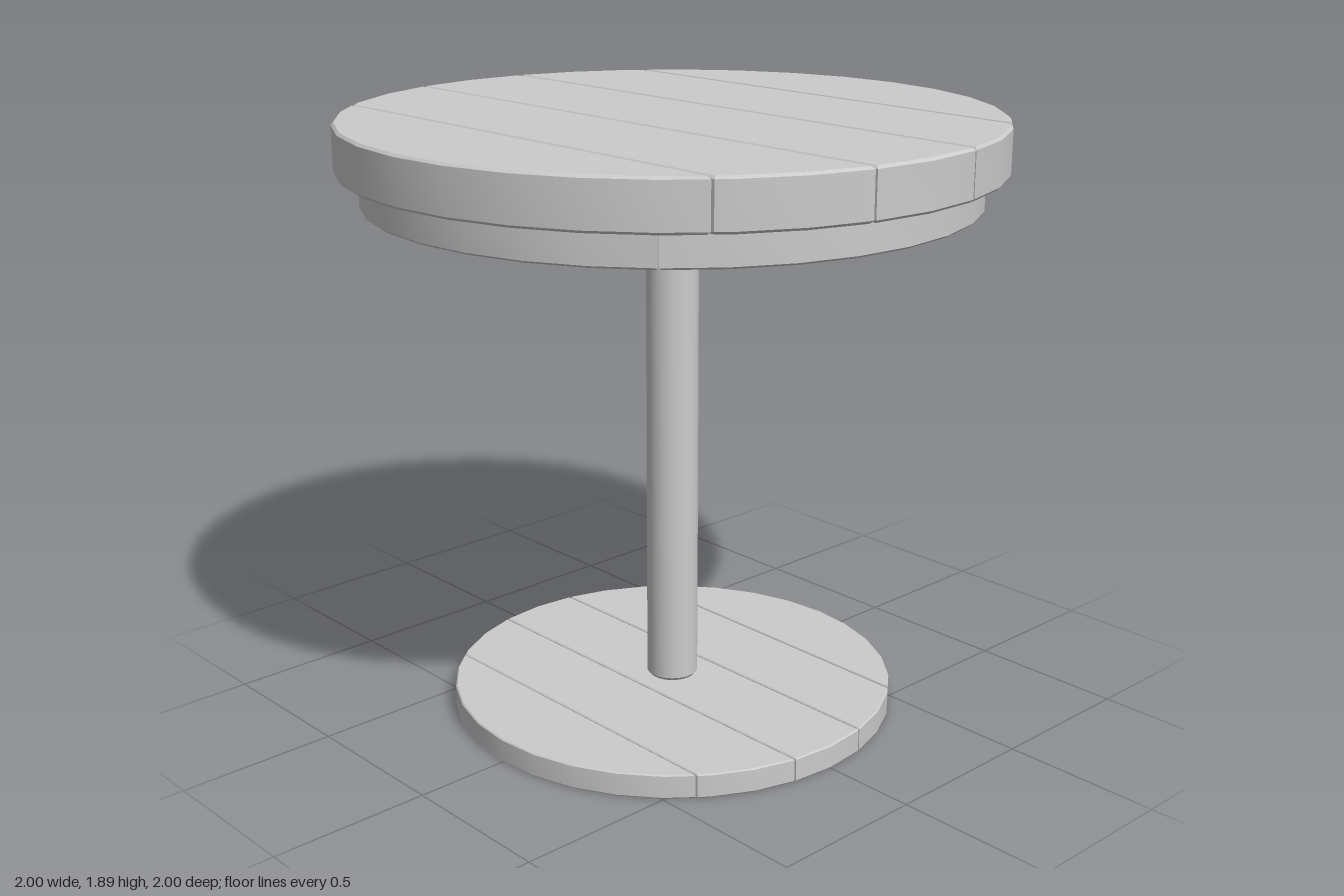
import * as THREE from 'three';
import { toCreasedNormals } from 'three/addons/utils/BufferGeometryUtils.js';

const material = new THREE.MeshStandardMaterial({ color: 0xcccccc });
const SIDES = 32;

function addMesh(parent, name, geometry) {
  const mesh = new THREE.Mesh(geometry, material);
  mesh.name = name;
  parent.add(mesh);
}

// Horizontal slab with chamfered edges, between heights y0 and y1
function slab(points, y0, y1, bevel) {
  const geometry = new THREE.ExtrudeGeometry(new THREE.Shape(points), {
    depth: y1 - y0 - 2 * bevel, bevelEnabled: true, bevelSegments: 1,
    bevelThickness: bevel, bevelSize: bevel, bevelOffset: -bevel,
  });
  geometry.rotateX(-Math.PI / 2).translate(0, y0 + bevel, 0);
  return toCreasedNormals(geometry, 0.5);
}

// Part of a round disc lying between x0 and x1
function discStrip(radius, x0, x1) {
  const corners = [];
  for (let i = 0; i < SIDES; i++) {
    const a = (i / SIDES) * Math.PI * 2;
    corners.push(new THREE.Vector2(Math.cos(a) * radius, Math.sin(a) * radius));
  }
  const out = [];
  corners.forEach((p, i) => {
    const q = corners[(i + 1) % SIDES];
    if (p.x >= x0 && p.x <= x1) out.push(p);
    [x0, x1]
      .map((x) => (x - p.x) / (q.x - p.x))
      .filter((t) => t > 0 && t < 1)
      .sort((a, b) => a - b)
      .forEach((t) => out.push(p.clone().lerp(q, t)));
  });
  return out;
}

// Round disc made of five parallel planks
function plankDisc(name, radius, y0, y1, gap, bevel) {
  const group = new THREE.Group();
  group.name = name;
  const width = (2 * radius) / 5;
  for (let i = 0; i < 5; i++) {
    const x0 = i === 0 ? -2 : -radius + i * width + gap / 2;
    const x1 = i === 4 ? 2 : -radius + (i + 1) * width - gap / 2;
    addMesh(group, name + 'Plank' + (i + 1), slab(discStrip(radius, x0, x1), y0, y1, bevel));
  }
  return group;
}

// Quarter of the ring, centred on the given angle
function ringQuarter(inner, outer, middle) {
  const points = [];
  const steps = SIDES / 4;
  for (const [radius, dir] of [[outer, 1], [inner, -1]]) {
    const half = Math.PI / 4 - 0.002 / radius;
    for (let i = 0; i <= steps; i++) {
      const a = middle + dir * half * ((2 * i) / steps - 1);
      points.push(new THREE.Vector2(Math.cos(a) * radius, Math.sin(a) * radius));
    }
  }
  return points;
}

export function createModel() {
  const model = new THREE.Group();
  model.name = 'roundTable';

  model.add(plankDisc('tableTop', 1, 1.743, 1.892, 0.006, 0.008));
  model.add(plankDisc('base', 0.703, 0, 0.077, 0.005, 0.004));

  // Ring under the top, in four curved pieces
  const ring = new THREE.Group();
  ring.name = 'apronRing';
  for (let i = 0; i < 4; i++) {
    addMesh(ring, 'apronPiece' + (i + 1), slab(ringQuarter(0.84, 0.93, (i * Math.PI) / 2), 1.638, 1.741, 0.006));
  }
  model.add(ring);

  // Central post with chamfered ends
  const profile = [[0, 0.077], [0.073, 0.077], [0.081, 0.087], [0.081, 1.733], [0.073, 1.743], [0, 1.743]]
    .map(([r, y]) => new THREE.Vector2(r, y));
  addMesh(model, 'post', toCreasedNormals(new THREE.LatheGeometry(profile, SIDES), 0.5));

  return model;
}
